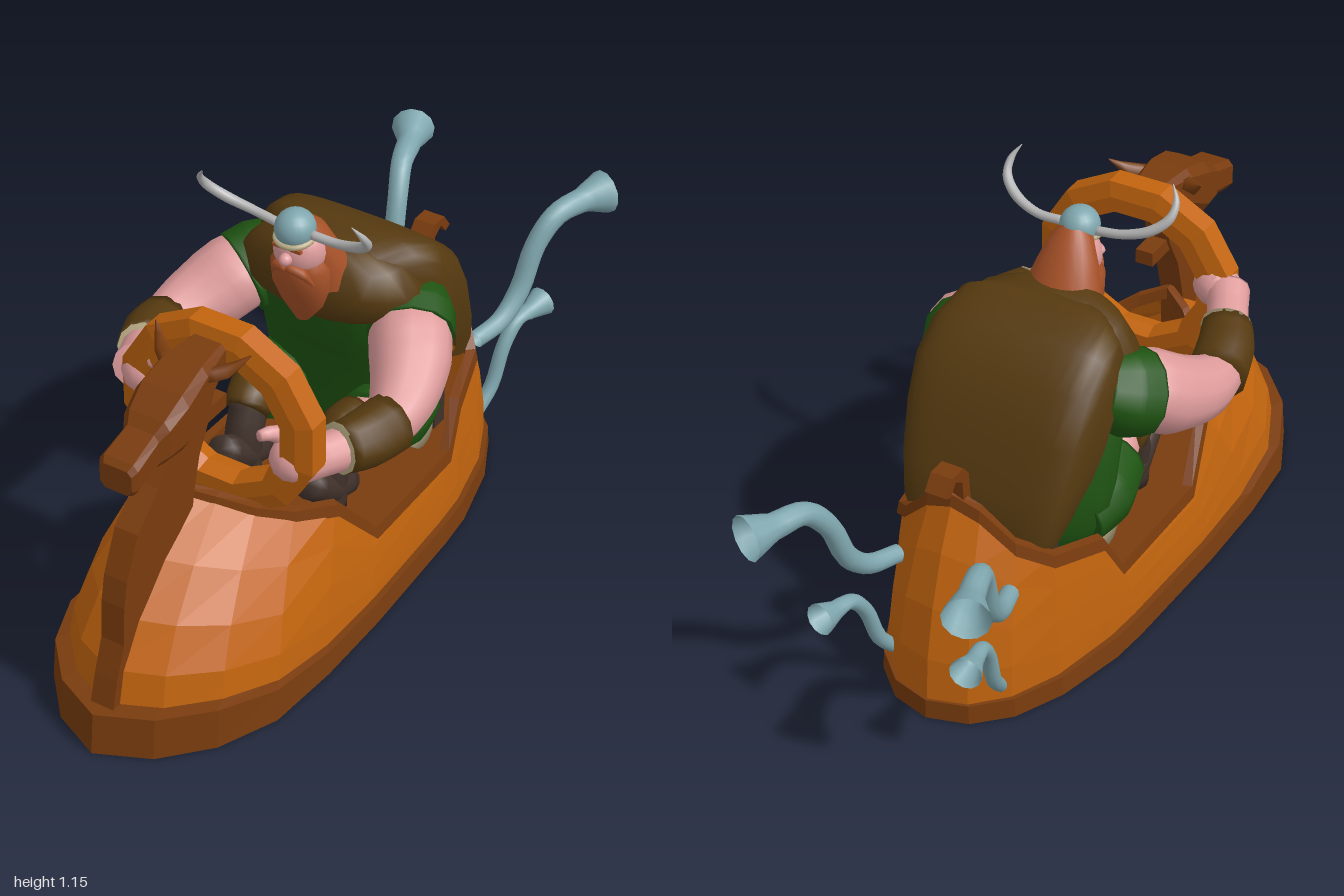
import * as THREE from 'three';

const mat = (name, color) => {
  const m = new THREE.MeshStandardMaterial({ color, side: THREE.DoubleSide });
  m.name = name;
  return m;
};
const V = (x, y, z) => new THREE.Vector3(x, y, z);

// Surface through rows of points; closed rows wrap round, flat rows get facets
function loft(rows, { closed = true, flat = false } = {}) {
  const n = rows[0].length, pos = [], idx = [];
  rows.forEach(r => r.forEach(p => pos.push(p.x, p.y, p.z)));
  for (let i = 0; i < rows.length - 1; i++) {
    for (let j = 0; j < (closed ? n : n - 1); j++) {
      const k = (j + 1) % n, a = i * n + j, b = i * n + k, c = a + n, d = b + n;
      idx.push(a, b, d, a, d, c);
    }
  }
  let g = new THREE.BufferGeometry();
  g.setAttribute('position', new THREE.Float32BufferAttribute(pos, 3));
  g.setIndex(idx);
  if (flat) g = g.toNonIndexed();
  g.computeVertexNormals();
  return g;
}

// Round limb or pipe through points [x, y, z, radius]
function limb(pts, { sides = 12, steps = 18, caps = true } = {}) {
  const curve = new THREE.CatmullRomCurve3(pts.map(p => V(p[0], p[1], p[2])));
  const fr = curve.computeFrenetFrames(steps), rows = [];
  for (let i = 0; i <= steps; i++) {
    const t = i / steps, s = t * (pts.length - 1), k = Math.min(Math.floor(s), pts.length - 2);
    const r = THREE.MathUtils.lerp(pts[k][3], pts[k + 1][3], s - k), c = curve.getPoint(t);
    rows.push(Array.from({ length: sides }, (_, j) => {
      const a = j / sides * Math.PI * 2;
      return c.clone().addScaledVector(fr.normals[i], Math.cos(a) * r).addScaledVector(fr.binormals[i], Math.sin(a) * r);
    }));
  }
  if (caps) {
    const flatRow = p => Array(sides).fill(V(...p.slice(0, 3)));
    rows.unshift(flatRow(pts[0]));
    rows.push(flatRow(pts[pts.length - 1]));
  }
  return loft(rows);
}

// Stacked horizontal ellipses [y, zCentre, rx, rz]
const stack = (rings, n = 20) => loft(rings.map(([y, z, rx, rz]) =>
  Array.from({ length: n }, (_, j) => {
    const a = -j / n * Math.PI * 2;
    return V(Math.cos(a) * rx, y, z + Math.sin(a) * rz);
  })));

// Side profile of [z, y] points given a width along x
function sideProfile(pts, width) {
  const g = new THREE.ExtrudeGeometry(new THREE.Shape(pts.map(p => new THREE.Vector2(...p))), { depth: width, bevelEnabled: false });
  return g.rotateY(-Math.PI / 2).translate(width / 2, 0, 0);
}

export function createModel() {
  const hullMat = mat('orangeWood', 0xc2640e), wood = mat('darkWood', 0x7a3c0e);
  const hide = mat('brownHide', 0x563a10), green = mat('greenCloth', 0x1f5412);
  const skin = mat('skin', 0xdf9c9c), leather = mat('darkLeather', 0x40312a);
  const steel = mat('blueSteel', 0x7fa6ae), horn = mat('greyHorn', 0xb2b2b2);
  const hair = mat('redHair', 0xa85228), tan = mat('tanTrim', 0xbcae88);

  const model = new THREE.Group(), body = new THREE.Group();
  body.name = 'vehicle';
  body.position.x = 0.02;
  model.add(body);
  const add = (name, g, m) => {
    const mesh = new THREE.Mesh(g, m);
    mesh.name = name;
    body.add(mesh);
    return mesh;
  };

  // Hull stations, nose to tail: base x, base z, rim x, rim y, rim z, skirt top
  const half = [
    [0, 0.94, 0, 0.55, 0.58, 0.125], [0.13, 0.88, 0.07, 0.525, 0.54, 0.125], [0.23, 0.77, 0.14, 0.48, 0.48, 0.12],
    [0.295, 0.62, 0.2, 0.44, 0.4, 0.1], [0.31, 0.42, 0.25, 0.41, 0.29, 0.075], [0.31, 0.2, 0.28, 0.26, 0.16, 0.07],
    [0.295, -0.15, 0.275, 0.26, -0.2, 0.07], [0.285, -0.26, 0.26, 0.38, -0.27, 0.07], [0.24, -0.45, 0.215, 0.42, -0.43, 0.065],
    [0.18, -0.58, 0.15, 0.48, -0.5, 0.065], [0.1, -0.66, 0.07, 0.57, -0.53, 0.065], [0, -0.69, 0, 0.6, -0.54, 0.065],
  ];
  const stations = [...half, ...half.slice(1, -1).reverse().map(s => [-s[0], s[1], -s[2], s[3], s[4], s[5]])];
  const hullRow = t => stations.map(([bx, bz, rx, ry, rz, y0]) => {
    const k = Math.pow(t, 1.9);
    return V(bx + (rx - bx) * k, y0 - 0.02 + (ry - y0 + 0.02) * t, bz + (rz - bz) * k);
  });
  const spine = row => row.map(p => V(0, p.y, p.z));
  add('hull', loft([0, 0.25, 0.5, 0.75, 1].map(hullRow), { flat: true }), hullMat);
  const floorRow = hullRow(0.15).map(p => V(p.x * 0.98, 0.14, p.z * 0.98));
  add('floor', loft([floorRow, spine(floorRow)], { flat: true }), wood);

  // Skirt with closed underside
  const skirtRow = (s, y) => stations.map(p => V(p[0] * s, y ?? p[5], p[1] > 0 ? p[1] * (1 + (s - 1) * 0.9) : p[1] * (1 + (s - 1) * 0.15)));
  const bottom = skirtRow(1.07, 0.01);
  add('skirt', loft([spine(bottom), bottom, skirtRow(1.055), skirtRow(0.97)], { flat: true }), wood);

  // Raised trim along the cockpit edge
  const rim = hullRow(1);
  const trimRow = (s, dy) => rim.map(p => V(p.x * s, p.y + dy, p.z * (1 + (s - 1) * 0.5)));
  add('rimTrim', loft([trimRow(1.06, -0.026), trimRow(1.04, 0.008), trimRow(0.95, 0.008), trimRow(0.95, -0.026)], { flat: true }), wood);

  // Figurehead: neck, head and ears
  add('figureheadNeck', sideProfile([[0.955, 0.1], [0.926, 0.2], [0.893, 0.29], [0.885, 0.4], [0.87, 0.47], [0.82, 0.58], [0.73, 0.66], [0.67, 0.73], [0.66, 0.86],
    [0.52, 0.92], [0.475, 0.87], [0.51, 0.74], [0.56, 0.65], [0.59, 0.54], [0.6, 0.4], [0.85, 0.1]], 0.066), wood);
  const headRows = [[0.48, 0.9, 0.001, 0.001], [0.48, 0.9, 0.035, 0.05], [0.58, 0.87, 0.065, 0.068], [0.67, 0.83, 0.08, 0.075],
    [0.735, 0.81, 0.06, 0.065], [0.76, 0.795, 0.05, 0.05], [0.85, 0.772, 0.045, 0.054], [0.865, 0.768, 0.035, 0.045], [0.865, 0.768, 0.001, 0.001]];
  add('figureheadHead', loft(headRows.map(([z, y, h, w]) =>
    [[1, 0.65], [0.75, 1], [-0.75, 1], [-1, 0.65], [-1, -0.55], [-0.7, -1], [0.7, -1], [1, -0.55]].map(([a, b]) => V(0.01 + a * w, y + b * h, z))), { flat: true }), wood);
  for (const s of [-1, 1]) {
    add('figureheadEar', limb([[0.01 + s * 0.05, 0.9, 0.57, 0.02], [0.01 + s * 0.09, 0.91, 0.54, 0.02], [0.01 + s * 0.135, 0.95, 0.5, 0.002]], { sides: 5, steps: 4 }), wood);
  }

  // Twelve-sided steering ring on a short column
  const ringProfile = [[0.182, 0], [0.196, -0.042], [0.24, -0.042], [0.284, -0.03], [0.284, 0.03], [0.24, 0.042], [0.196, 0.042], [0.182, 0]];
  const ring = new THREE.LatheGeometry(ringProfile.map(p => new THREE.Vector2(...p)), 12).toNonIndexed();
  ring.rotateX(Math.PI / 2).rotateZ(Math.PI / 12).scale(1, 0.95, 1).translate(0.015, 0.695, 0.43);
  ring.computeVertexNormals();
  add('steeringRing', ring, hullMat);
  add('ringPeg', new THREE.BoxGeometry(0.05, 0.04, 0.1).translate(0, 0.73, 0.48), wood);

  // Curled stern post
  add('sternCurl', sideProfile([[-0.5, 0.52], [-0.54, 0.58], [-0.545, 0.65], [-0.575, 0.67], [-0.6, 0.64], [-0.62, 0.65],
    [-0.59, 0.69], [-0.54, 0.69], [-0.515, 0.66], [-0.51, 0.6]], 0.06), wood);

  // Flared exhaust pipes
  for (const s of [-1, 1]) {
    add('upperPipe', limb([[s * 0.16, 0.365, -0.55, 0.024], [s * 0.185, 0.385, -0.64, 0.026], [s * 0.2, 0.45, -0.71, 0.028], [s * 0.215, 0.57, -0.76, 0.028],
      [s * 0.24, 0.64, -0.82, 0.03], [s * 0.27, 0.65, -0.91, 0.034], [s * 0.3, 0.65, -0.98, 0.06]], { steps: 24, caps: false }), steel);
    add('lowerPipe', limb([[s * 0.15, 0.09, -0.58, 0.018], [s * 0.165, 0.16, -0.64, 0.02], [s * 0.175, 0.27, -0.68, 0.02],
      [s * 0.185, 0.33, -0.73, 0.021], [s * 0.195, 0.335, -0.78, 0.024], [s * 0.205, 0.34, -0.835, 0.042]], { steps: 20, caps: false }), steel);
  }

  // Seat back
  add('seatBack', new THREE.BoxGeometry(0.34, 0.45, 0.05).translate(0, 0.44, -0.35), leather);

  // Torso, shoulder yoke and cape
  add('torso', stack([[0.28, -0.2, 0.001, 0.001], [0.28, -0.2, 0.19, 0.12], [0.38, -0.2, 0.235, 0.13], [0.48, -0.19, 0.25, 0.13], [0.6, -0.16, 0.25, 0.13],
    [0.72, -0.12, 0.24, 0.13], [0.83, -0.1, 0.2, 0.11]]), green);
  add('shoulderYoke', stack([[0.73, -0.09, 0.19, 0.115], [0.76, -0.09, 0.24, 0.14], [0.82, -0.09, 0.255, 0.14], [0.88, -0.08, 0.2, 0.12], [0.92, -0.06, 0.09, 0.08], [0.92, -0.06, 0.001, 0.001]]), hide);
  const capePath = [[0.02, 0.86, 0.11], [-0.04, 0.91, 0.18], [-0.13, 0.935, 0.24], [-0.23, 0.895, 0.262], [-0.32, 0.82, 0.266],
    [-0.385, 0.7, 0.26], [-0.435, 0.56, 0.245], [-0.465, 0.46, 0.225], [-0.455, 0.4, 0.21]];
  add('cape', loft(capePath.map(([z, y, w], i) => {
    const inward = V(0, 0.58 - y, -0.1 - z).normalize(), sharp = Math.min(3 + i * 0.5, 6);
    return Array.from({ length: 21 }, (_, j) => {
      const u = j / 10 - 1;
      return V(w * Math.sin(u * Math.PI / 2), y, z).addScaledVector(inward, 0.13 * Math.pow(Math.abs(u), sharp) + 0.012 * u * u);
    });
  }), { closed: false }), hide);

  // Arms: sleeve, upper arm, bracer, forearm, fist; the right one is raised and wider
  for (const [s, up] of [[1, 0], [-1, 1]]) {
    const h = up * 0.06, wide = up ? 1.06 : 0.96;
    const p = (x, y, z, r) => [s * x * wide, y + h * THREE.MathUtils.clamp(z * 4, 0, 1.6), z, r];
    add('sleeve', limb([p(0.18, 0.75, -0.17, 0.09), p(0.22, 0.725, -0.12, 0.112), p(0.25, 0.705, -0.07, 0.112)]), green);
    add('upperArm', limb([p(0.22, 0.74, -0.11, 0.085), p(0.255, 0.71, -0.06, 0.105), p(0.29, 0.675, -0.005, 0.103), p(0.325, 0.63, 0.08, 0.085), p(0.335, 0.605, 0.16, 0.065), p(0.325, 0.6, 0.2, 0.06)]), skin);
    add('bracer', limb([p(0.333, 0.605, 0.155, 0.078), p(0.315, 0.605, 0.24, 0.076), p(0.285, 0.61, 0.315, 0.066)], { steps: 6 }), hide);
    add('bracerEdge', limb([p(0.285, 0.61, 0.312, 0.067), p(0.282, 0.611, 0.32, 0.066)], { steps: 1 }), tan);
    add('forearm', limb([p(0.3, 0.605, 0.28, 0.056), p(0.26, 0.612, 0.37, 0.053), p(0.235, 0.62, 0.42, 0.058)]), skin);
    const fist = new THREE.SphereGeometry(0.066, 12, 8).scale(0.95, 0.92, 0.9);
    add('fist', fist.translate(s * 0.215, 0.625 + h * 1.6, 0.425), skin);
    add('thumb', limb([p(0.21, 0.65, 0.4, 0.025), p(0.17, 0.685, 0.43, 0.022), p(0.152, 0.695, 0.47, 0.014)], { sides: 8, steps: 6 }), skin);

    // Legs bent forward into boots
    add('thigh', limb([[s * 0.14, 0.38, -0.22, 0.1], [s * 0.155, 0.4, -0.12, 0.11], [s * 0.15, 0.42, -0.01, 0.09]]), green);
    add('trouserCuff', limb([[s * 0.155, 0.33, -0.17, 0.058], [s * 0.225, 0.335, -0.17, 0.052]], { steps: 2 }), tan);
    add('knee', limb([[s * 0.15, 0.43, -0.03, 0.065], [s * 0.145, 0.455, 0.04, 0.06]], { steps: 3 }), skin);
    add('kneeWrap', limb([[s * 0.145, 0.46, 0.02, 0.066], [s * 0.14, 0.46, 0.07, 0.066], [s * 0.135, 0.43, 0.11, 0.058]], { steps: 6 }), hide);
    add('shinBoot', limb([[s * 0.135, 0.45, 0.09, 0.05], [s * 0.13, 0.36, 0.13, 0.05], [s * 0.13, 0.25, 0.13, 0.045]], { steps: 8 }), leather);
    add('bootFoot', limb([[s * 0.13, 0.28, 0.05, 0.04], [s * 0.13, 0.32, 0.14, 0.05], [s * 0.13, 0.385, 0.235, 0.038]], { steps: 6 }), leather);
  }

  // Head, hair and beard
  add('face', new THREE.SphereGeometry(0.07, 18, 14).scale(1, 1.05, 0.95).translate(0, 0.955, 0.06), skin);
  add('nose', new THREE.SphereGeometry(0.017, 10, 8).scale(1, 1, 1.2).translate(0, 0.955, 0.128), skin);
  add('hair', stack([[1.04, 0.06, 0.03, 0.03], [1.01, 0.045, 0.056, 0.05], [0.95, 0.025, 0.08, 0.065], [0.89, 0, 0.1, 0.08], [0.84, -0.01, 0.11, 0.085]]), hair);
  add('beard', stack([[0.94, 0.058, 0.062, 0.056], [0.91, 0.06, 0.08, 0.064], [0.85, 0.058, 0.08, 0.054], [0.79, 0.052, 0.058, 0.036], [0.74, 0.048, 0.02, 0.02], [0.73, 0.048, 0.001, 0.001]]), hair);
  for (const s of [-1, 1]) {
    add('moustache', limb([[0, 0.93, 0.125, 0.012], [s * 0.035, 0.92, 0.115, 0.014], [s * 0.06, 0.88, 0.095, 0.004]], { sides: 8, steps: 6 }), hair);
    add('eyebrow', new THREE.BoxGeometry(0.03, 0.009, 0.009).translate(s * 0.026, 0.985, 0.122), hair);
  }

  // Horned helmet
  add('helmet', new THREE.SphereGeometry(0.054, 20, 14).scale(0.96, 0.95, 1).translate(0, 1.024, 0.085), steel);
  add('helmetBand', new THREE.TorusGeometry(0.047, 0.008, 8, 24).rotateX(Math.PI / 2 + 0.15).translate(0, 1.003, 0.087), tan);
  for (const s of [-1, 1]) {
    const drop = s > 0 ? 0.012 : 0;
    add('helmetHorn', limb([[s * 0.045, 1.02, 0.085, 0.012], [s * 0.12, 1.032 - drop, 0.085, 0.012], [s * 0.19, 1.055 - drop, 0.1, 0.014], [s * 0.23, 1.09 - drop, 0.125, 0.013],
      [s * 0.233, 1.125 - drop, 0.15, 0.009], [s * 0.213, 1.16 - drop, 0.17, 0.001]], { steps: 26 }), horn);
  }
  return model;
}
